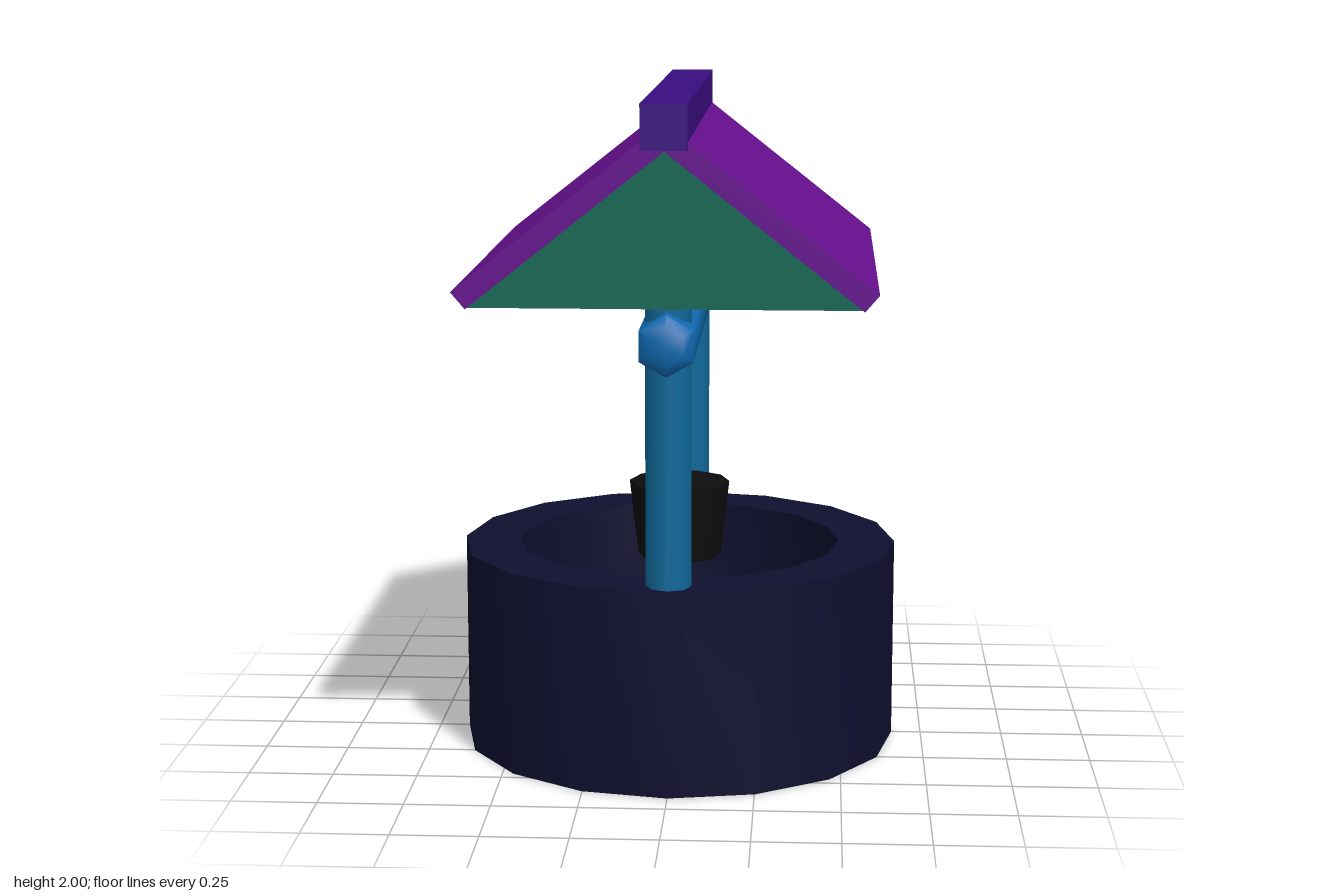
import * as THREE from 'three';
import { toCreasedNormals } from 'three/addons/utils/BufferGeometryUtils.js';

const mat = (name, color, side = THREE.FrontSide) => {
  const m = new THREE.MeshStandardMaterial({ color, side });
  m.name = name;
  return m;
};

export function createModel() {
  const stone = mat('darkStone', 0x0f0f30);
  const water = mat('waterBlue', 0x0c0cb4);
  const wood = mat('postBlue', 0x0f6a9c);
  const beamWood = mat('beamBlue', 0x1069b0);
  const tile = mat('roofPurple', 0x650f8f);
  const indigo = mat('ridgeIndigo', 0x3a0d80);
  const teal = mat('gableTeal', 0x106855, THREE.DoubleSide);
  const green = mat('gableGreen', 0x0d570d, THREE.DoubleSide);
  const black = mat('bucketBlack', 0x0d0d0d);

  const model = new THREE.Group();
  model.name = 'well';
  const add = (name, geometry, material, x = 0, y = 0, z = 0) => {
    const mesh = new THREE.Mesh(geometry, material);
    mesh.name = name;
    mesh.position.set(x, y, z);
    model.add(mesh);
    return mesh;
  };
  const lathe = (pairs, sides, crease) => toCreasedNormals(
    new THREE.LatheGeometry(pairs.map(([r, y]) => new THREE.Vector2(r, y)), sides), crease);
  const polygon = (pairs) => new THREE.Shape(pairs.map(([x, y]) => new THREE.Vector2(x, y)));

  // Ring wall with a closed bottom and a water surface inside
  add('wall', lathe([[0, 0], [0.66, 0], [0.66, 0.61], [0.49, 0.61], [0.49, 0.29]], 16, 0.6), stone);
  add('water', new THREE.CircleGeometry(0.49, 16).rotateX(-Math.PI / 2), water, 0, 0.3, 0);

  // Posts at front and back, reaching up under the ridge
  for (const [name, s] of [['frontPost', 1], ['backPost', -1]]) {
    add(name, new THREE.CylinderGeometry(0.066, 0.066, 1.24, 8), wood, 0, 1.22, s * 0.575);
  }

  // Six-sided winding beam with chamfered ends
  const beam = lathe([[0, -0.71], [0.056, -0.71], [0.088, -0.685],
    [0.088, 0.685], [0.056, 0.71], [0, 0.71]], 6, 1.1);
  add('beam', beam.rotateX(Math.PI / 2), beamWood, 0, 1.322, 0);

  // Bucket hanging on a rope; ten sides with corners on the x axis
  add('bucket', new THREE.CylinderGeometry(0.153, 0.127, 0.23, 10).rotateY(Math.PI / 2), black, 0, 0.678, 0);
  add('rope', new THREE.CylinderGeometry(0.016, 0.016, 0.5, 8), indigo, 0, 1.03, 0);

  // Roof slabs as one folded section drawn along z
  const section = polygon([[0, 1.87], [0.548, 1.435], [0.588, 1.482], [0, 1.946], [-0.588, 1.482], [-0.548, 1.435]]);
  add('roof', new THREE.ExtrudeGeometry(section, { depth: 1.54, bevelEnabled: false }), tile, 0, 0, -0.77);
  add('ridge', new THREE.BoxGeometry(0.13, 0.126, 1.58), indigo, 0, 1.937, 0);

  // Triangular gables, one colour at each end
  const gable = new THREE.ShapeGeometry(polygon([[-0.548, 1.435], [0.548, 1.435], [0, 1.87]]));
  add('frontGable', gable, teal, 0, 0, 0.74);
  add('backGable', gable, green, 0, 0, -0.74);

  return model;
}
